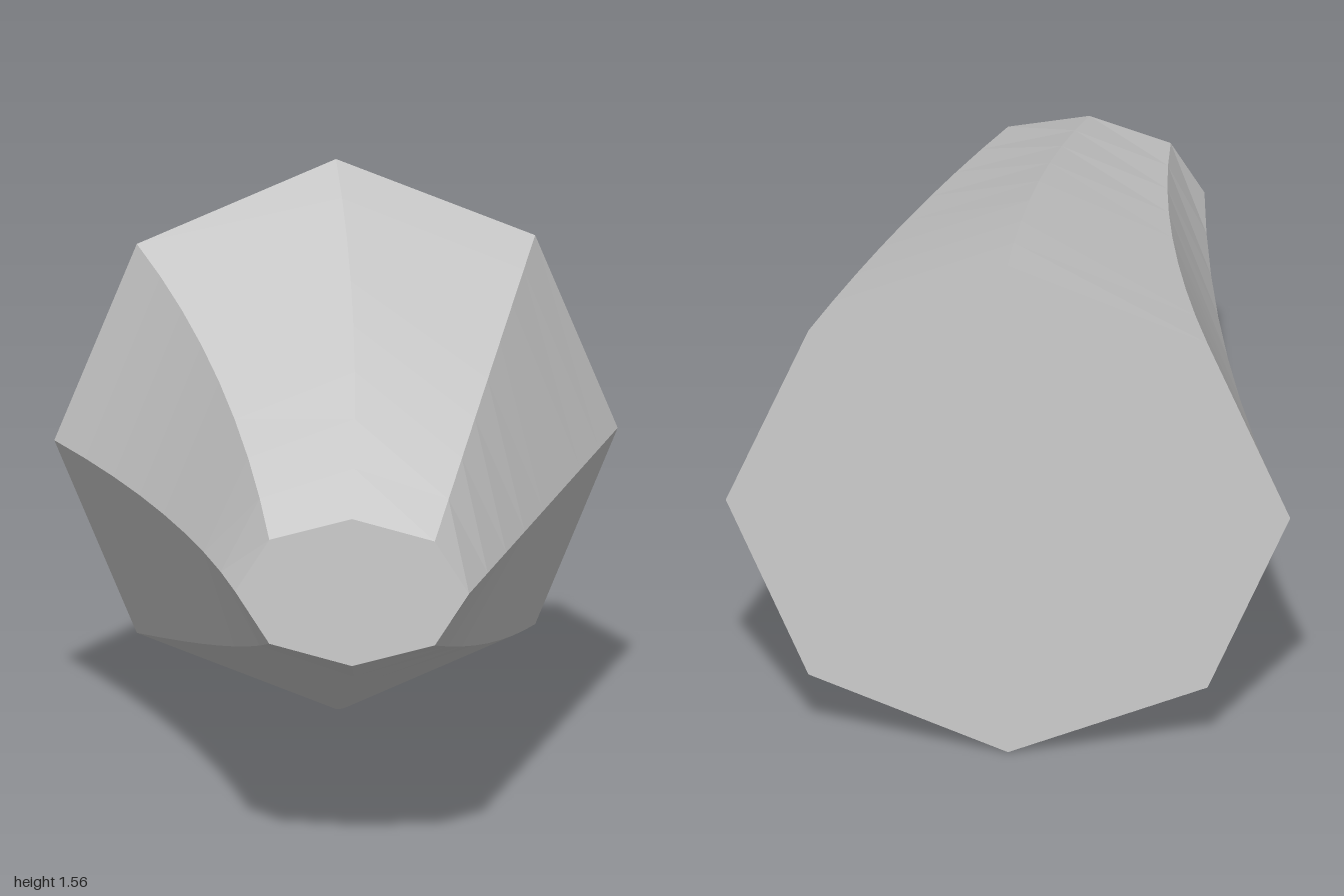
import * as THREE from 'three';

const SIDES = 8, STEPS = 8, MID_Y = 0.778;
const lerp = THREE.MathUtils.lerp;

// Eight-sided section at t (0 = small front end, 1 = large back end).
// The -x rail bows inward, the +x rail stays straight.
function section(t) {
  const bow = 4 * t * (1 - t);
  const left = new THREE.Vector3(lerp(-0.813, -0.683, t) + 0.055 * bow, MID_Y, lerp(0.743, -1, t));
  const right = new THREE.Vector3(lerp(-0.222, 0.81, t), MID_Y, lerp(0.995, -0.582, t));
  const height = lerp(0.208, 0.778, t) + 0.035 * bow;
  const centre = left.clone().add(right).multiplyScalar(0.5);
  const across = right.clone().sub(left).multiplyScalar(0.5);
  return Array.from({ length: SIDES }, (_, j) => {
    const a = (j / SIDES) * Math.PI * 2;
    const p = centre.clone().addScaledVector(across, Math.cos(a));
    p.y += height * Math.sin(a);
    return p;
  });
}

function meshFrom(name, points, material) {
  const geometry = new THREE.BufferGeometry().setFromPoints(points);
  geometry.computeVertexNormals();
  const mesh = new THREE.Mesh(geometry, material);
  mesh.name = name;
  return mesh;
}

// Triangle fan closing one end
function fan(ring, flip) {
  const out = [];
  for (let j = 1; j < SIDES - 1; j++) {
    out.push(ring[0], ...(flip ? [ring[j + 1], ring[j]] : [ring[j], ring[j + 1]]));
  }
  return out;
}

export function createModel() {
  const group = new THREE.Group();
  group.name = 'bentTaperedStub';
  const grey = new THREE.MeshStandardMaterial({ color: 0xcccccc });
  grey.name = 'light grey';
  grey.flatShading = true;

  const rings = Array.from({ length: STEPS + 1 }, (_, i) => section(i / STEPS));

  // Side wall
  const wall = [];
  for (let i = 0; i < STEPS; i++) {
    for (let j = 0; j < SIDES; j++) {
      const k = (j + 1) % SIDES;
      const a = rings[i][j], b = rings[i + 1][j], c = rings[i + 1][k], d = rings[i][k];
      wall.push(a, b, c, a, c, d);
    }
  }
  group.add(meshFrom('sideWall', wall, grey));

  // End caps
  group.add(meshFrom('frontCap', fan(rings[0], false), grey));
  group.add(meshFrom('backCap', fan(rings[STEPS], true), grey));
  return group;
}
